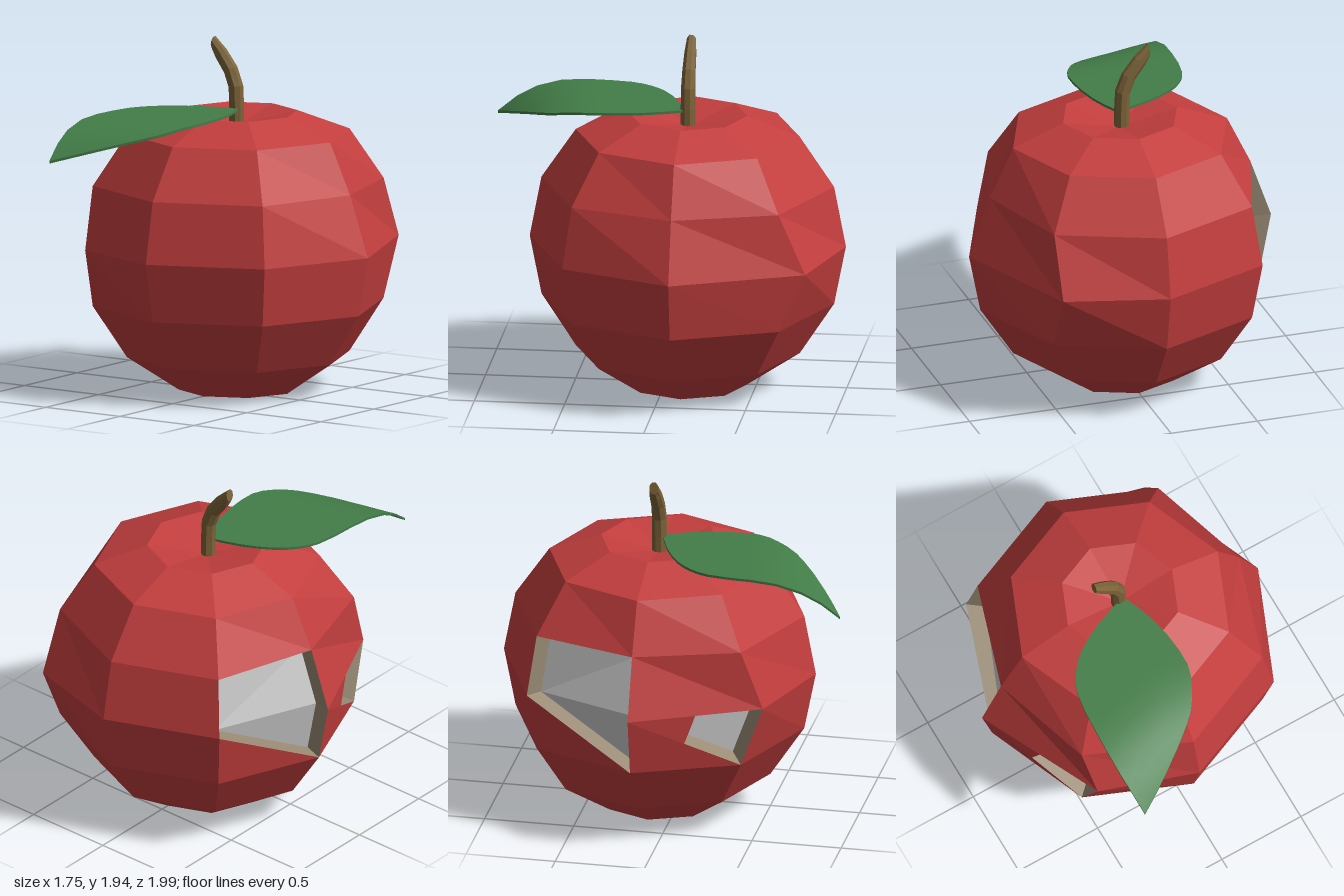
import * as THREE from 'three';

const SIDES = 8, CZ = -0.12;
const material = (color, extra = {}) => new THREE.MeshStandardMaterial({ color, ...extra });
const V = (x, y, z) => new THREE.Vector3(x, y, z);
const mid = (a, b) => a.clone().lerp(b, 0.5);

// Faceted mesh from a list of polygons, each fanned from its first corner
function facetMesh(name, polygons, mat) {
  const points = [];
  for (const p of polygons)
    for (let i = 1; i < p.length - 1; i++) points.push(p[0], p[i], p[i + 1]);
  const geometry = new THREE.BufferGeometry().setFromPoints(points);
  geometry.computeVertexNormals();
  const mesh = new THREE.Mesh(geometry, mat);
  mesh.name = name;
  return mesh;
}

// Eight-sided fruit rings, with a few corners pushed out of true
function fruitRings() {
  const profile = [[0.33, 0], [0.62, 0.19], [0.81, 0.48], [0.875, 0.81], [0.81, 1.15], [0.62, 1.43], [0.33, 1.54]];
  const rings = profile.map(([r, y]) => Array.from({ length: SIDES }, (_, k) => {
    const a = (k / SIDES) * Math.PI * 2;
    return V(r * Math.cos(a), y, r * Math.sin(a) + CZ);
  }));
  rings[3][7].set(0.57, 0.81, -0.84);
  rings[3][3].set(-0.54, 0.81, 0.57);
  rings[4][0].x = 0.755;
  rings[4][4].x = -0.755;
  return rings;
}

// Recessed hole: rim walls and a floor set inward
function cavity(name, outline, depth, scale) {
  const group = new THREE.Group();
  group.name = name;
  const center = outline.reduce((s, p) => s.add(p), V(0, 0, 0)).divideScalar(outline.length);
  const normal = V(0, 0, 0);
  outline.forEach((p, i) => {
    const q = outline[(i + 1) % outline.length];
    normal.add(p.clone().sub(center).cross(q.clone().sub(center)));
  });
  normal.normalize();
  const inner = outline.map(p => p.clone().sub(center).multiplyScalar(scale).add(center).addScaledVector(normal, -depth));
  const walls = outline.map((p, i) => {
    const j = (i + 1) % outline.length;
    return [p, outline[j], inner[j], inner[i]];
  });
  group.add(facetMesh(name + 'Wall', walls, material(0x998a74, { flatShading: true })));
  group.add(facetMesh(name + 'Floor', [inner], material(0xcccccc, { flatShading: true })));
  return group;
}

function createFruit() {
  const group = new THREE.Group();
  group.name = 'fruit';
  const P = fruitRings();
  const faces = [];
  for (let i = 0; i < P.length - 1; i++) {
    for (let k = 0; k < SIDES; k++) {
      const n = (k + 1) % SIDES;
      const [a, b, c, d] = [P[i][k], P[i + 1][k], P[i + 1][n], P[i][n]];
      if (i === 3 && k === 4) continue; // open face of the large hole
      if (i === 2 && k === 3) faces.push([mid(a, c), mid(b, c), c]); // beside the small hole
      else if (!(i === 2 && k === 4)) faces.push([a, b, c]);
      faces.push([a, c, d]);
    }
  }
  // dimples at the top and bottom
  const top = P[P.length - 1], topCenter = V(0, 1.47, CZ), bottomCenter = V(0, 0.09, CZ);
  for (let k = 0; k < SIDES; k++) {
    const n = (k + 1) % SIDES;
    faces.push([topCenter, top[n], top[k]], [bottomCenter, P[0][k], P[0][n]]);
  }
  group.add(facetMesh('skin', faces, material(0xc43e3e, { flatShading: true })));
  group.add(cavity('largeHole', [P[3][5], P[2][4], P[3][4], P[4][4], P[4][5]], 0.1, 0.93));
  group.add(cavity('smallHole', [P[2][3], P[3][3], mid(P[3][3], P[3][4]), mid(P[2][3], P[3][4])], 0.09, 0.8));
  return group;
}

// Bent, slightly tapering stem with a slanted cut
function createStem() {
  const rings = [
    // x, y, tilt, half width, half depth
    [-0.01, 1.45, 0, 0.042, 0.042], [-0.01, 1.57, 0.03, 0.042, 0.042], [-0.015, 1.68, 0.18, 0.042, 0.041],
    [-0.05, 1.77, 0.5, 0.042, 0.038], [-0.115, 1.855, 0.65, 0.04, 0.034], [-0.165, 1.912, 1.4, 0.036, 0.027],
  ].map(([x, y, tilt, w, d]) => Array.from({ length: SIDES }, (_, k) => {
    const a = ((k + 0.5) / SIDES) * Math.PI * 2, u = w * Math.cos(a);
    return V(x + u * Math.cos(tilt), y + u * Math.sin(tilt), CZ + d * Math.sin(a));
  }));
  const faces = [];
  for (let i = 0; i < rings.length - 1; i++)
    for (let k = 0; k < SIDES; k++) {
      const n = (k + 1) % SIDES;
      faces.push([rings[i][k], rings[i + 1][k], rings[i + 1][n], rings[i][n]]);
    }
  faces.push([...rings[rings.length - 1]].reverse());
  return facetMesh('stem', faces, material(0x7d6439, { flatShading: true }));
}

// Thin leaf lofted between its two edges, drooping to the tip
function createLeaf() {
  const edge = pts => new THREE.CatmullRomCurve3(pts.map(([x, z]) => V(x, 0, z)));
  const left = edge([[-0.01, -0.1], [-0.18, -0.04], [-0.34, 0.05], [-0.43, 0.14], [-0.485, 0.25], [-0.51, 0.5], [-0.51, 0.78], [-0.483, 0.99]]);
  const right = edge([[0.015, -0.1], [0.08, 0.06], [0.12, 0.27], [0.12, 0.43], [0.08, 0.53], [0.02, 0.63], [-0.09, 0.73], [-0.3, 0.88], [-0.48, 0.99]]);
  const ROWS = 14, COLS = 4, THICK = 0.014;
  const place = (p, lower) => {
    const t = Math.max(0, (p.z + 0.25 * p.x - 0.35) / 0.52);
    return [p.x, 1.564 - 0.19 * t ** 2.5 - lower, p.z];
  };
  const group = new THREE.Group();
  group.name = 'leaf';
  const mat = material(0x437d48, { side: THREE.DoubleSide });
  const addGrid = (name, cols, point, flip) => {
    const pos = [], index = [];
    for (let i = 0; i <= ROWS; i++)
      for (let j = 0; j <= cols; j++) pos.push(...point(i / ROWS, j / cols));
    for (let i = 0; i < ROWS; i++)
      for (let j = 0; j < cols; j++) {
        const a = i * (cols + 1) + j, b = a + 1, c = a + cols + 1, d = c + 1;
        index.push(...(flip ? [a, b, c, b, d, c] : [a, c, b, b, c, d]));
      }
    const g = new THREE.BufferGeometry();
    g.setAttribute('position', new THREE.Float32BufferAttribute(pos, 3));
    g.setIndex(index);
    g.computeVertexNormals();
    const mesh = new THREE.Mesh(g, mat);
    mesh.name = name;
    group.add(mesh);
  };
  const across = (u, v) => left.getPoint(u).lerp(right.getPoint(u), v);
  addGrid('leafTop', COLS, (u, v) => place(across(u, v), 0), false);
  addGrid('leafUnderside', COLS, (u, v) => place(across(u, v), THICK), true);
  addGrid('leafLeftEdge', 1, (u, v) => place(left.getPoint(u), THICK * (1 - v)), false);
  addGrid('leafRightEdge', 1, (u, v) => place(right.getPoint(u), THICK * v), false);
  return group;
}

export function createModel() {
  const model = new THREE.Group();
  model.name = 'apple';
  model.add(createFruit(), createStem(), createLeaf());
  return model;
}
